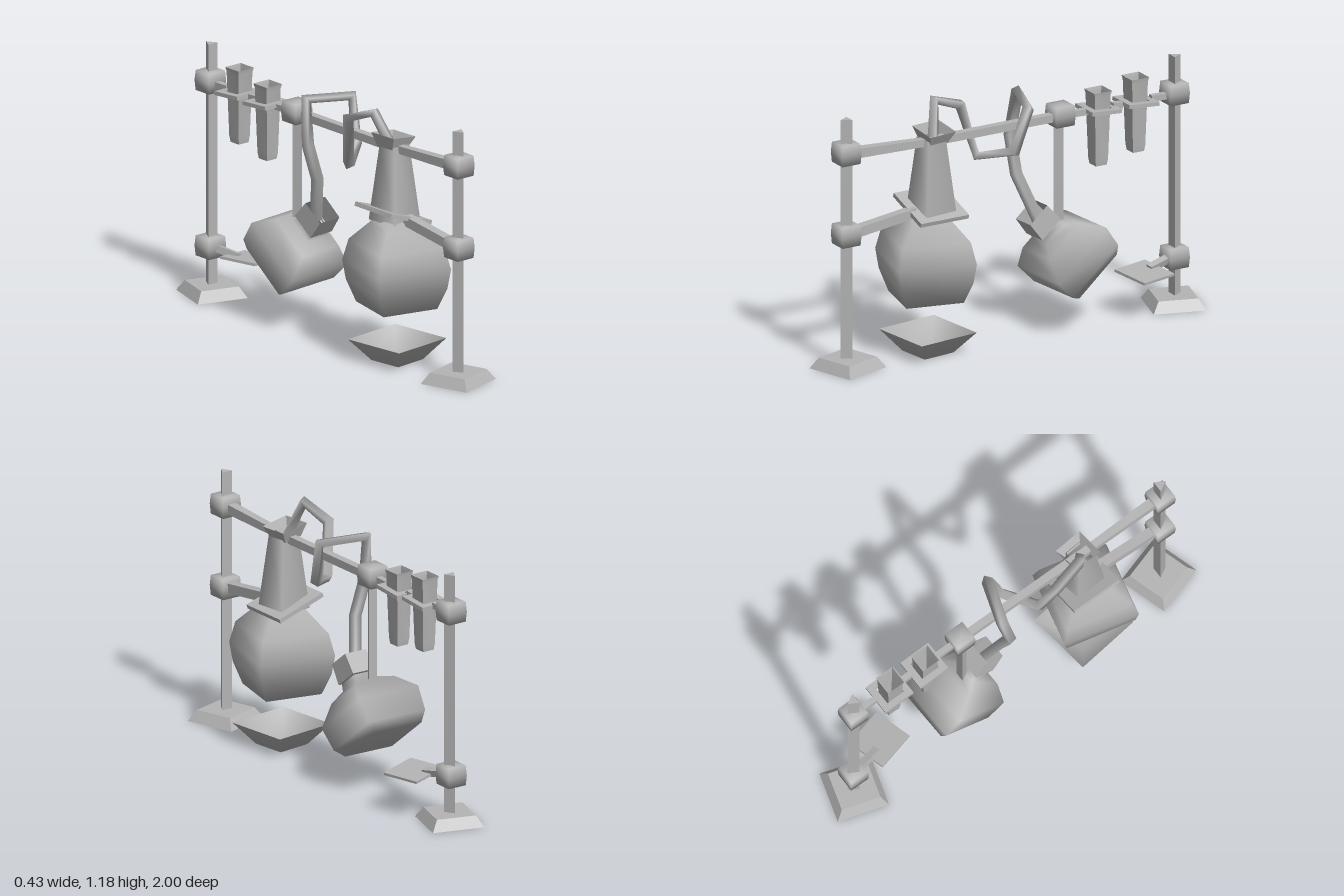
import * as THREE from 'three';
import { toCreasedNormals } from 'three/addons/utils/BufferGeometryUtils.js';

const deg = Math.PI / 180;

export function createModel() {
  const model = new THREE.Group();
  const grey = new THREE.MeshStandardMaterial({ color: 0xb4b4b4, side: THREE.DoubleSide });
  grey.name = 'plain grey';

  const add = (name, geometry, x = 0, y = 0, z = 0, parent = model) => {
    const mesh = new THREE.Mesh(geometry, grey);
    mesh.name = name;
    mesh.position.set(x, y, z);
    parent.add(mesh);
    return mesh;
  };

  // Four-sided turned shape; profile runs bottom to top as [corner radius, height]
  const turned = (profile, angle = 0, smooth = true) => {
    const g = new THREE.LatheGeometry(profile.map(p => new THREE.Vector2(...p)), 4);
    g.rotateY((45 + angle) * deg);
    return smooth ? g : toCreasedNormals(g, 0.4);
  };

  // Straight prism between two points
  const rod = (name, a, b, r, sides = 4, r2 = r) => {
    const from = new THREE.Vector3(...a), to = new THREE.Vector3(...b);
    const dir = to.clone().sub(from);
    const g = new THREE.CylinderGeometry(r2, r, dir.length(), sides);
    if (sides === 4) g.rotateY(45 * deg);
    const mesh = add(name, toCreasedNormals(g, 0.4));
    mesh.position.copy(from).add(to).multiplyScalar(0.5);
    mesh.quaternion.setFromUnitVectors(new THREE.Vector3(0, 1, 0), dir.normalize());
    return mesh;
  };

  const clamp = (y, z) => add('clamp', turned(
    [[0, -0.05], [0.066, -0.047], [0.071, 0], [0.066, 0.047], [0, 0.05]]), 0.005, y, z);

  // Two upright stands with hollow square feet
  for (const s of [1, -1]) {
    const pole = add('standPole', toCreasedNormals(new THREE.CylinderGeometry(0.031, 0.031, 1.13, 3), 0.4),
      0.007, 0.61, s * 0.855);
    if (s < 0) pole.rotation.y = Math.PI;
    add('standFoot', turned([[0.172, 0], [0.13, 0.05], [0, 0.05]], s * 17, false), 0.008, 0, s * 0.848);
  }
  [[1.015, 0.855], [0.63, 0.855], [1, -0.855], [0.225, -0.855], [1, -0.26]].forEach(c => clamp(...c));

  // Cross bar and clamp arms
  rod('crossBar', [0.005, 1.01, 0.84], [0.005, 0.993, 0.41], 0.032, 4, 0.024);
  rod('crossBar', [0.005, 0.993, 0.41], [0.005, 0.993, -0.26], 0.026);
  rod('flaskArm', [0.005, 0.63, 0.84], [0.005, 0.675, 0.5], 0.032);
  rod('hangingRod', [0.005, 0.98, -0.25], [0.005, 0.48, -0.25], 0.026, 3);
  rod('lowArm', [0.005, 0.225, -0.84], [0.04, 0.203, -0.7], 0.022);
  const support = add('lowPlate', new THREE.BoxGeometry(0.19, 0.012, 0.19), 0.07, 0.2, -0.66);
  support.rotation.set(0, 14 * deg, -6 * deg);

  // Large round flask with its neck, collar plate and stopper
  add('flaskBulb', turned([[0, 0.25], [0.19, 0.26], [0.238, 0.36], [0.255, 0.45],
    [0.225, 0.55], [0.13, 0.635], [0.1, 0.665], [0, 0.67]], -13), -0.002, 0, 0.435);
  add('flaskNeck', turned([[0.115, 0.655], [0.066, 1.01]], 4), 0.005, 0, 0.412);
  const collar = add('neckPlate', new THREE.BoxGeometry(0.25, 0.02, 0.25), 0, 0.685, 0.41);
  collar.rotation.z = -18 * deg;
  const stopper = add('stopper', turned([[0.066, -0.03], [0.1, 0.03]], 5, false), 0.005, 1.02, 0.4);
  stopper.rotation.z = -8 * deg;

  // Open dish under the flask
  add('dish', turned([[0, 0], [0.115, 0.002], [0.22, 0.1]], 7), 0.005, 0, 0.43);

  // Bent delivery tube, mitred at each bend
  const bends = [[0, 0.99, 0.4], [-0.065, 1.155, 0.355], [-0.09, 1.1, 0.205], [-0.04, 0.862, 0.15],
    [0.1, 0.905, 0.035], [0.125, 1.105, -0.02], [-0.085, 1.115, -0.09], [-0.1, 0.91, -0.06],
    [-0.045, 0.74, -0.06], [0.015, 0.52, -0.14]].map(p => new THREE.Vector3(...p));
  const path = new THREE.CatmullRomCurve3(bends, false, 'catmullrom', 0);
  path.getPointAt = t => path.getPoint(t);
  path.getTangentAt = t => {
    const i = Math.round(t * (bends.length - 1)), sum = new THREE.Vector3();
    if (i > 0) sum.add(bends[i].clone().sub(bends[i - 1]).normalize());
    if (i < bends.length - 1) sum.add(bends[i + 1].clone().sub(bends[i]).normalize());
    return sum.normalize();
  };
  add('deliveryTube', new THREE.TubeGeometry(path, bends.length - 1, 0.028, 4));

  // Tilted receiving flask
  const receiver = new THREE.Group();
  receiver.name = 'receivingFlask';
  receiver.position.set(0.02, 0.25, -0.365);
  receiver.rotation.x = 39.5 * deg;
  model.add(receiver);
  add('receiverBulb', turned([[0, 0], [0.188, 0.004], [0.225, 0.05], [0.238, 0.165],
    [0.155, 0.25], [0.085, 0.28], [0.075, 0.32]], 3), 0, 0, 0, receiver);
  add('receiverMouth', turned([[0.065, 0.31], [0.092, 0.315], [0.084, 0.415]], 3, false), 0, 0, 0, receiver);

  // Square test tubes in linked holder plates
  for (const [z, top] of [[-0.458, 1.08], [-0.652, 1.11]]) {
    add('testTube', turned([[0, -0.355], [0.04, -0.35], [0.046, -0.32], [0.058, -0.02],
      [0.064, 0]], 0, false), 0.003, top, z);
    const shape = new THREE.Shape([[-1, -1], [1, -1], [1, 1], [-1, 1]]
      .map(([a, b]) => new THREE.Vector2(a * 0.075, b * 0.078)));
    shape.holes.push(new THREE.Path([[-1, -1], [-1, 1], [1, 1], [1, -1]]
      .map(([a, b]) => new THREE.Vector2(a * 0.045, b * 0.045))));
    const g = new THREE.ExtrudeGeometry(shape, { depth: 0.018, bevelEnabled: false });
    g.rotateX(-Math.PI / 2);
    const holder = add('tubeHolder', g, 0, 0.982, z - 0.004);
    holder.rotation.x = -4 * deg;
  }
  for (const [a, b] of [[-0.28, -0.4], [-0.53, -0.58], [-0.73, -0.85]]) {
    rod('holderLink', [0.005, 0.993, a], [0.005, 0.99, b], 0.02);
  }

  return model;
}
